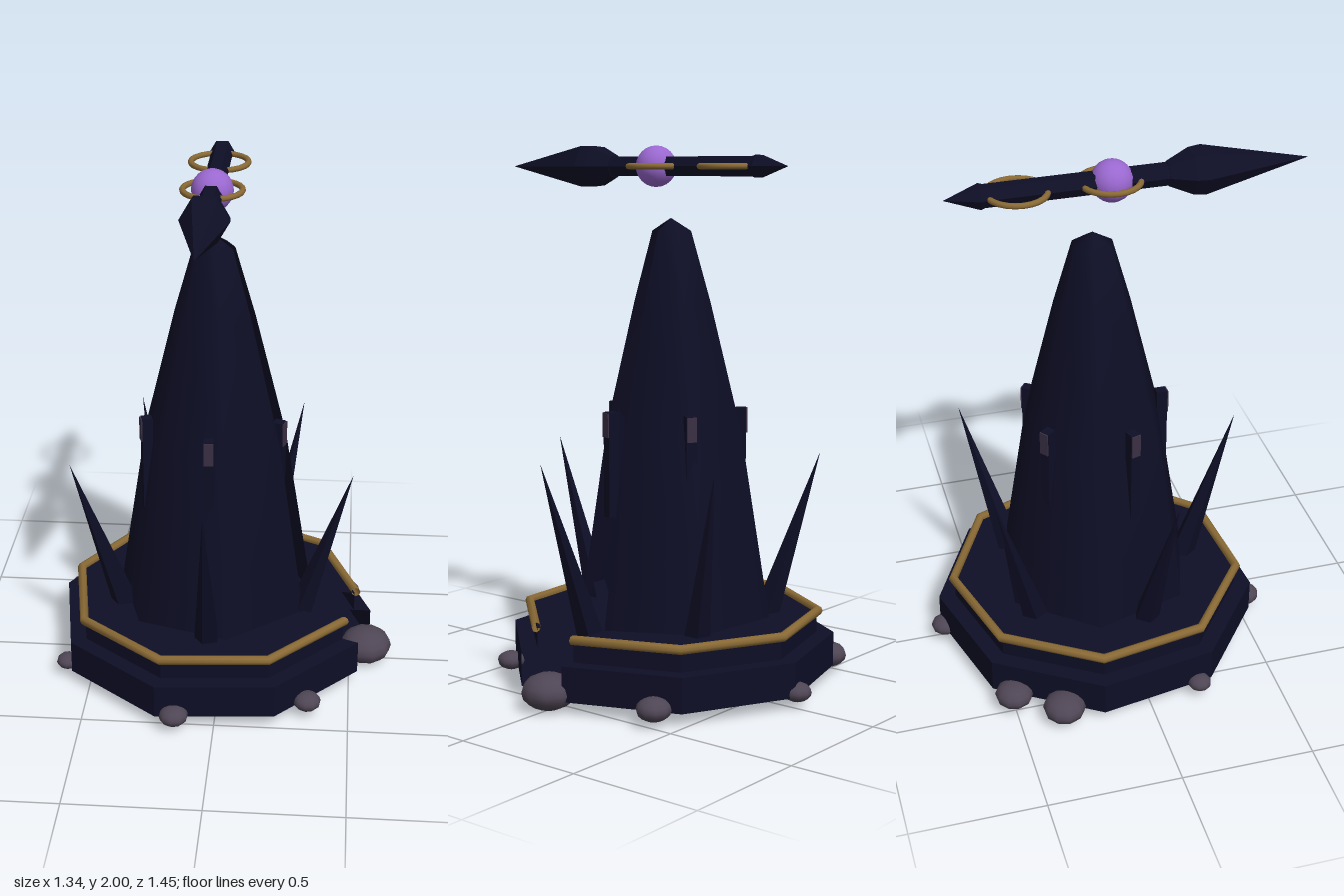
import * as THREE from 'three';

const AX = -0.04, AZ = -0.07;               // tower axis
const START = Math.PI / 2, SWEEP = Math.PI * 1.875; // broken ring: one wedge missing

function mat(name, color, flat = false) {
  const m = new THREE.MeshStandardMaterial({ color, side: THREE.DoubleSide, flatShading: flat });
  m.name = name;
  return m;
}

export function createModel() {
  const root = new THREE.Group();
  root.name = 'crystalSpire';
  const navy = mat('midnight stone', 0x0e0e26);
  const gold = mat('old gold', 0x8a6a35);
  const rock = mat('grey rock', 0x4f4655);
  const violet = mat('violet glow', 0x9a68d0);
  const mauve = mat('dim mauve', 0x3a3045);

  const add = (parent, name, geo, material, x = 0, y = 0, z = 0) => {
    const m = new THREE.Mesh(geo, material);
    m.name = name;
    m.position.set(x, y, z);
    parent.add(m);
    return m;
  };
  const faceted = (geo) => {
    const g = geo.toNonIndexed();
    g.computeVertexNormals();
    return g;
  };

  // Everything sharing the tower axis
  const spire = new THREE.Group();
  spire.name = 'spire';
  spire.position.set(AX, 0, AZ);
  root.add(spire);

  // Two broken steps of the base
  const tier = (name, r, y0, y1) => add(spire, name,
    faceted(new THREE.CylinderGeometry(r, r, y1 - y0, 8, 1, false, START, SWEEP)), navy, 0, (y0 + y1) / 2, 0);
  tier('lowerStep', 0.62, 0.045, 0.175);
  tier('upperStep', 0.555, 0.175, 0.255);

  // Gold trim on the deck edge
  const trim = new THREE.TorusGeometry(0.56, 0.018, 8, 8, SWEEP);
  trim.rotateZ(Math.PI / 8);
  trim.rotateX(Math.PI / 2);
  add(spire, 'goldTrim', trim, gold, 0, 0.258, 0);

  // Tapering tower shell
  const profile = [[0.385, 0.25], [0.345, 0.5], [0.272, 0.95], [0.152, 1.43], [0.077, 1.69], [0, 1.737]]
    .map(([r, y]) => new THREE.Vector2(r, y));
  add(spire, 'tower', new THREE.LatheGeometry(profile, 6, START, SWEEP), navy);

  // Five leaning spikes, each with a rib and a dim window behind it
  for (let i = 0; i < 5; i++) {
    const side = new THREE.Group();
    side.name = 'buttress' + (i + 1);
    side.rotation.y = -(Math.PI / 10 + i * Math.PI * 0.4);
    spire.add(side);

    const dx = 0.205, dy = 0.65;
    const cone = new THREE.ConeGeometry(0.052, Math.hypot(dx, dy), 5);
    const spike = add(side, 'spike', faceted(cone), navy, 0.355 + dx / 2, 0.22 + dy / 2, 0);
    spike.rotation.z = -Math.atan2(dx, dy);

    add(side, 'rib', new THREE.BoxGeometry(0.04, 0.39, 0.038), navy, 0.262, 0.84, 0);
    add(side, 'ribWindow', new THREE.BoxGeometry(0.006, 0.09, 0.036), mauve, 0.284, 0.988, 0);
  }

  // Boulders around the foot: x, z, radius
  const boulders = [
    [0.565, 0.005, 0.1], [-0.595, -0.335, 0.08], [-0.475, -0.5, 0.072], [-0.01, -0.675, 0.053],
    [0.475, -0.405, 0.064], [0.345, 0.4, 0.052], [-0.148, 0.53, 0.055], [-0.595, 0.195, 0.044],
  ];
  boulders.forEach(([x, z, r], i) => {
    const b = add(root, 'boulder' + (i + 1), new THREE.SphereGeometry(r, 10, 8), rock, x, 0.05 + r * 0.17, z);
    b.scale.y = 0.67;
    b.rotation.y = i * 1.3;
  });

  // Floating arrow, lying along z
  const arrow = new THREE.Group();
  arrow.name = 'floatingArrow';
  arrow.position.set(AX, 1.925, 0);
  root.add(arrow);
  const hexPart = (name, pts) => {
    const g = new THREE.LatheGeometry(pts.map(([r, z]) => new THREE.Vector2(r, z)), 6, Math.PI / 2);
    g.rotateX(Math.PI / 2);
    add(arrow, name, faceted(g), navy);
  };
  hexPart('shaft', [[0.041, -0.46], [0.041, 0.22]]);
  hexPart('arrowHead', [[0, 0.2], [0.044, 0.2], [0.083, 0.285], [0.088, 0.33], [0, 0.72]]);
  hexPart('arrowTail', [[0, -0.59], [0.046, -0.465], [0.041, -0.45], [0, -0.45]]);

  add(arrow, 'orb', new THREE.SphereGeometry(0.076, 16, 12), violet);
  for (const [name, z] of [['orbRing', -0.005], ['tailRing', -0.335]]) {
    const ring = new THREE.TorusGeometry(0.107, 0.011, 8, 24);
    ring.rotateX(Math.PI / 2);
    add(arrow, name, ring, gold, 0, 0, z);
  }
  return root;
}
